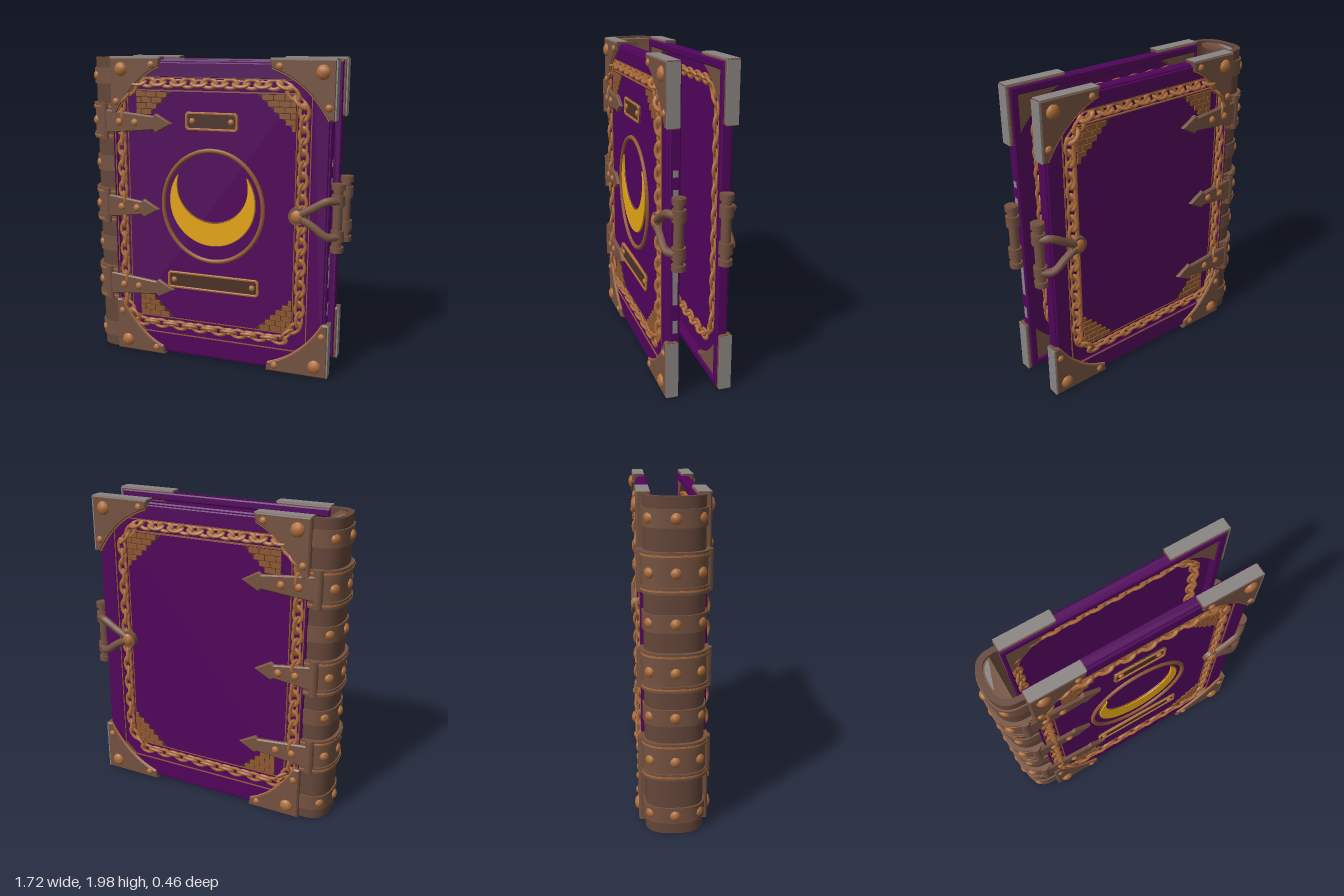
import * as THREE from 'three';
import { toCreasedNormals } from 'three/addons/utils/BufferGeometryUtils.js';

const mat = (name, color) => Object.assign(new THREE.MeshStandardMaterial({ color }), { name });
const M = {
  purple: mat('purple leather', 0x51045b),
  brown: mat('aged brown metal', 0x745240),
  umber: mat('spine brown', 0x644639),
  dark: mat('dark brown', 0x4c3228),
  bronze: mat('bronze', 0x8f5a34),
  copper: mat('copper', 0xae6d3a),
  brick: mat('brick', 0x8e5730),
  gold: mat('gold', 0xeaaa14),
  grey: mat('worn grey', 0x8a8583),
};

function add(parent, name, geo, material, x = 0, y = 0, z = 0) {
  const m = new THREE.Mesh(geo, material);
  m.name = name;
  m.position.set(x, y, z);
  parent.add(m);
  return m;
}
const toShape = pts => new THREE.Shape(pts.map(p => new THREE.Vector2(p[0], p[1])));
const rectPts = (x0, y0, x1, y1) => [[x0, y0], [x1, y0], [x1, y1], [x0, y1]];
const octPts = (x0, y0, x1, y1, c) => [[x0 + c, y0], [x1 - c, y0], [x1, y0 + c], [x1, y1 - c],
  [x1 - c, y1], [x0 + c, y1], [x0, y1 - c], [x0, y0 + c]];

// flat plate between two depths, from points or a shape, with a small bevel and an optional hole
function plate(parent, name, outline, z0, z1, material, bevel = 0, hole = null) {
  const s = Array.isArray(outline) ? toShape(outline) : outline;
  if (hole) s.holes.push(toShape(hole));
  const geo = new THREE.ExtrudeGeometry(s, { depth: z1 - z0 - 2 * bevel, bevelEnabled: bevel > 0,
    bevelSize: bevel, bevelThickness: bevel, bevelOffset: -bevel, bevelSegments: 1, curveSegments: 24 });
  return add(parent, name, geo, material, 0, 0, z0 + bevel);
}
function rivet(parent, x, y, z, r, h = r * 0.7) {
  const geo = new THREE.SphereGeometry(r, 10, 6);
  geo.scale(1, 1, h / r);
  return add(parent, 'rivet', geo, M.copper, x, y, z);
}
const tube = (parent, name, curve, r, material) =>
  add(parent, name, new THREE.TubeGeometry(curve, 14, r, 8), material);

const STRAPS = [1.58, 1.02, 0.48];

// chain running round the cover, links alternately flat and on edge
function chain(parent, z, x0, y0, x1, y1) {
  const path = new THREE.CurvePath();
  const p = octPts(x0, y0, x1, y1, 0.12).map(q => new THREE.Vector3(q[0], q[1], z));
  p.forEach((a, i) => path.add(new THREE.LineCurve3(a, p[(i + 1) % p.length])));
  const link = new THREE.TorusGeometry(0.027, 0.0115, 6, 12);
  link.scale(1.6, 1, 0.9);
  const n = 2 * Math.round(path.getLength() / 0.136);
  for (let i = 0; i < n; i++) {
    const t = path.getTangentAt(i / n), q = path.getPointAt(i / n);
    const m = add(parent, 'chainLink', link, M.copper, q.x, q.y, q.z);
    m.rotation.order = 'ZYX';
    m.rotation.set(i % 2 ? 0.9 : 0.1, 0, Math.atan2(t.y, t.x));
  }
}

// triangular patch of brickwork in an inner corner; sx, sy point towards the corner
function bricks(parent, cx, cy, sx, sy) {
  const W = 0.24, H = 0.22, rows = 6, rh = H / rows;
  const tri = [[cx, cy], [cx - sx * W, cy], [cx, cy - sy * H]];
  plate(parent, 'brickMortar', tri, 0.17, 0.185, M.dark);
  for (let r = 0; r < rows; r++) {
    const len = W * (1 - (r + 0.5) / rows), y = cy - sy * (r + 0.5) * rh;
    for (let a = r % 2 ? -0.035 : 0; a < len - 0.01; a += 0.07) {
      const s = Math.max(a, 0), w = Math.min(a + 0.065, len) - s;
      add(parent, 'brick', new THREE.BoxGeometry(w, rh - 0.006, 0.012), M.brick, cx - sx * (s + w / 2), y, 0.187);
    }
  }
}

// metal corner guard with a concave, copper-edged inner side
function cornerGuard(parent, cx, cy, sx, sy, w, h) {
  const P = (a, b) => [cx - sx * a, cy - sy * b];
  const s = new THREE.Shape();
  s.moveTo(...P(0, 0));
  s.lineTo(...P(w, 0));
  s.lineTo(...P(w - 0.01, 0.06));
  s.quadraticCurveTo(...P(0.17, 0.13), ...P(0.04, h));
  s.lineTo(...P(0, h));
  plate(parent, 'cornerGuard', s, 0.125, 0.208, M.brown, 0.01);
  const V = (a, b) => new THREE.Vector3(...P(a, b), 0.198);
  tube(parent, 'guardEdge', new THREE.QuadraticBezierCurve3(V(w - 0.012, 0.058), V(0.168, 0.128), V(0.038, h - 0.002)), 0.006, M.copper);
  if (sy > 0) add(parent, 'wornTopEdge', new THREE.BoxGeometry(w - 0.01, 0.008, 0.076), M.grey, cx - sx * w / 2, cy - 0.001, 0.167);
  if (sx > 0) add(parent, 'wornSideEdge', new THREE.BoxGeometry(0.008, h - 0.01, 0.076), M.grey, cx - 0.001, cy - sy * h / 2, 0.167);
  rivet(parent, ...P(0.08, 0.075), 0.205, 0.045, 0.028);
  rivet(parent, ...P(w - 0.06, 0.045), 0.205, 0.024);
  rivet(parent, ...P(0.04, h - 0.08), 0.205, 0.024);
}

function cover() {
  const g = new THREE.Group();
  // hollow board: side walls, backing, raised rim and centre panel
  plate(g, 'coverWall', rectPts(-0.665, 0.02, 0.77, 1.975), 0.115, 0.18, M.purple, 0.008, rectPts(-0.64, 0.07, 0.72, 1.925));
  plate(g, 'coverBacking', rectPts(-0.655, 0.03, 0.76, 1.965), 0.16, 0.17, M.purple);
  plate(g, 'coverRim', rectPts(-0.665, 0.035, 0.755, 1.96), 0.165, 0.19, M.purple, 0.006, rectPts(-0.65, 0.165, 0.65, 1.865));
  plate(g, 'coverPanel', rectPts(-0.555, 0.275, 0.555, 1.785), 0.165, 0.183, M.purple, 0.004);
  plate(g, 'rimTrim', rectPts(-0.65, 0.16, 0.65, 1.87), 0.185, 0.192, M.bronze, 0, rectPts(-0.644, 0.166, 0.644, 1.864));
  plate(g, 'panelTrim', rectPts(-0.559, 0.271, 0.559, 1.789), 0.168, 0.185, M.bronze, 0, rectPts(-0.553, 0.277, 0.553, 1.783));
  for (const z of [0.184, 0.152]) chain(g, z, -0.605, 0.225, 0.6, 1.835);
  for (const sx of [-1, 1]) for (const sy of [-1, 1]) {
    bricks(g, sx > 0 ? 0.55 : -0.49, 1.03 + sy * 0.75, sx, sy);
    cornerGuard(g, sx > 0 ? 0.79 : -0.668, sy > 0 ? 1.99 : 0.01, sx, sy, sx > 0 ? 0.4 : 0.35, 0.36);
  }
  // pointed hinge straps
  STRAPS.forEach((y, i) => {
    const tip = i === 1 ? -0.34 : -0.245, k = tip - 0.11;
    plate(g, 'hingeStrap', [[-0.72, y - 0.078], [k - 0.02, y - 0.045], [k, y - 0.062], [tip, y],
      [k, y + 0.062], [k - 0.02, y + 0.045], [-0.72, y + 0.078]], 0.165, 0.206, M.brown, 0.008);
    add(g, 'hingeKnuckle', new THREE.CylinderGeometry(0.03, 0.03, 0.23, 12), M.brown, -0.72, y, 0.182);
    for (const x of [-0.61, -0.5]) rivet(g, x, y, 0.204, 0.026);
  });
  // clasp with two arms and a vertical pin
  for (const s of [-1, 1])
    tube(g, 'claspArm', new THREE.CatmullRomCurve3([[0.57, 1.05, 0.197], [0.67, 1.05 + s * 0.055, 0.2],
      [0.76, 1.045 + s * 0.11, 0.195], [0.82, 1.045 + s * 0.11, 0.16]].map(p => new THREE.Vector3(...p))), 0.026, M.brown);
  const boss = add(g, 'claspBoss', new THREE.CylinderGeometry(0.055, 0.06, 0.04, 14), M.brown, 0.575, 1.05, 0.192);
  boss.rotation.x = Math.PI / 2;
  rivet(g, 0.575, 1.05, 0.208, 0.042, 0.022);
  add(g, 'claspPin', new THREE.CylinderGeometry(0.03, 0.03, 0.43, 12), M.brown, 0.81, 1.045, 0.14);
  for (const y of [0.85, 0.935, 1.155, 1.24])
    add(g, 'claspCollar', new THREE.CylinderGeometry(0.042, 0.042, Math.abs(y - 1.045) > 0.15 ? 0.035 : 0.07, 12), M.brown, 0.812, y, 0.14);
  return g;
}

// mirrored copy across z = 0 with the corner order corrected
function mirrorZ(src) {
  const out = new THREE.Group();
  src.updateMatrixWorld(true);
  src.traverse(o => {
    if (!o.isMesh) return;
    const geo = (o.geometry.index ? o.geometry.toNonIndexed() : o.geometry.clone()).applyMatrix4(o.matrixWorld);
    geo.applyMatrix4(new THREE.Matrix4().makeScale(1, 1, -1));
    for (const key of ['position', 'normal']) {
      const a = geo.attributes[key];
      for (let i = 0; i < a.count; i += 3) {
        const t = [a.getX(i), a.getY(i), a.getZ(i)];
        a.setXYZ(i, a.getX(i + 1), a.getY(i + 1), a.getZ(i + 1));
        a.setXYZ(i + 1, ...t);
      }
    }
    add(out, o.name, geo, o.material);
  });
  return out;
}

// rounded spine section, grown outwards by off
function spinePts(off) {
  const pts = [[-0.66, -0.172 - off]];
  for (let i = 0; i <= 20; i++) {
    const a = (i / 20 - 0.5) * Math.PI, s = Math.sin(a);
    pts.push([-0.69 - (0.143 + off) * Math.pow(Math.max(Math.cos(a), 0), 0.75), Math.sign(s) * Math.pow(Math.abs(s), 0.8) * (0.172 + off)]);
  }
  return [...pts, [-0.66, 0.172 + off]];
}
function spinePart(parent, name, pts, y0, y1, material) {
  const geo = new THREE.ExtrudeGeometry(toShape(pts), { depth: y1 - y0, bevelEnabled: false });
  geo.rotateX(-Math.PI / 2);
  return add(parent, name, toCreasedNormals(geo, 0.6), material, 0, y0, 0);
}
const shell = (a, b) => [...spinePts(b), ...spinePts(a).reverse()];

// rivets on the back and both shoulders of the spine
function spineRivets(parent, y, xMid, xSide) {
  for (const s of [-1, 0, 1]) {
    const r = rivet(parent, s ? xSide : xMid, y, s * 0.143, 0.032, 0.022);
    r.rotation.y = s ? s * -0.75 : Math.PI / 2;
  }
}

function spine() {
  const g = new THREE.Group();
  spinePart(g, 'spineShell', shell(-0.035, 0), 0.01, 1.985, M.umber);
  const cap = off => spinePts(off).filter(p => p[0] < -0.72);
  for (const y of [0.012, 1.945]) spinePart(g, 'spineCap', cap(-0.02), y, y + 0.025, M.brown);
  spinePart(g, 'wornCapPatch', cap(-0.045).filter(p => p[1] > -0.06), 1.968, 1.974, M.grey);
  for (const y of [0.13, 0.75, 1.3, 1.87]) {
    spinePart(g, 'spineRib', shell(-0.01, 0.01), y - 0.05, y + 0.05, M.brown);
    spineRivets(g, y, -0.842, -0.79);
  }
  for (const y of STRAPS) {
    spinePart(g, 'spineBand', shell(-0.01, 0.014), y - 0.115, y + 0.115, M.brown);
    for (const d of [-0.095, 0.095]) {
      spinePart(g, 'bandEdge', shell(0, 0.022), y + d - 0.02, y + d + 0.02, M.brown);
      spinePart(g, 'bandEdgeWear', shell(0, 0.024), y + d - 0.005, y + d + 0.005, M.copper);
    }
    add(g, 'innerHinge', new THREE.BoxGeometry(0.03, 0.2, 0.14), M.brown, -0.785, y, 0);
    add(g, 'innerHingePin', new THREE.CylinderGeometry(0.025, 0.025, 0.23, 10), M.brown, -0.765, y, 0);
    spineRivets(g, y, -0.844, -0.803);
  }
  return g;
}

// riveted name plate with a copper frame
function namePlate(parent, x0, y0, x1, y1) {
  const b = 0.015, y = (y0 + y1) / 2;
  plate(parent, 'namePlate', octPts(x0, y0, x1, y1, 0.015), 0.18, 0.192, M.dark);
  plate(parent, 'namePlateFrame', octPts(x0, y0, x1, y1, 0.015), 0.18, 0.2, M.copper, 0.003, octPts(x0 + b, y0 + b, x1 - b, y1 - b, 0.01));
  for (const x of [x0 + 0.045, x1 - 0.045]) rivet(parent, x, y, 0.192, 0.02);
}

// crescent of outer radius R whose inner edge dips to height dip
function crescentShape(R, dip) {
  const cy = 1.092, ty = 1.262, dx = Math.sqrt(R * R - (ty - cy) ** 2), a = Math.atan2(ty - cy, dx);
  const ci = (dx * dx + ty * ty - dip * dip) / (2 * (ty - dip)), b = Math.atan2(ty - ci, dx);
  const s = new THREE.Shape();
  s.absarc(0.02, cy, R, Math.PI - a, 2 * Math.PI + a, false);
  s.absarc(0.02, ci, ci - dip, b, Math.PI - b, true);
  return s;
}

export function createModel() {
  const root = new THREE.Group();
  root.name = 'book';
  const front = cover(), back = mirrorZ(front);
  front.name = 'frontCover';
  back.name = 'backCover';
  const spineGroup = spine();
  spineGroup.name = 'spine';

  // front emblem: oval ring and crescent
  const ring = new THREE.TorusGeometry(0.335, 0.014, 8, 56);
  ring.scale(1, 1.075, 1);
  add(front, 'emblemRing', ring, M.bronze, 0.02, 1.06, 0.186);
  plate(front, 'crescentEdge', crescentShape(0.289, 0.962), 0.18, 0.19, M.bronze);
  plate(front, 'crescent', crescentShape(0.284, 0.953), 0.18, 0.196, M.gold);
  namePlate(front, -0.155, 1.545, 0.19, 1.66);
  namePlate(front, -0.29, 0.495, 0.335, 0.61);

  // worn patches on the fore edge of the front cover
  for (const [y0, y1] of [[0.6, 0.82], [0.42, 0.5], [1.22, 1.29], [1.36, 1.4], [1.63, 1.71]])
    add(front, 'wornForeEdge', new THREE.BoxGeometry(0.004, y1 - y0, 0.03), M.grey, 0.77, (y0 + y1) / 2, 0.145);

  root.add(front, back, spineGroup);
  return root;
}
